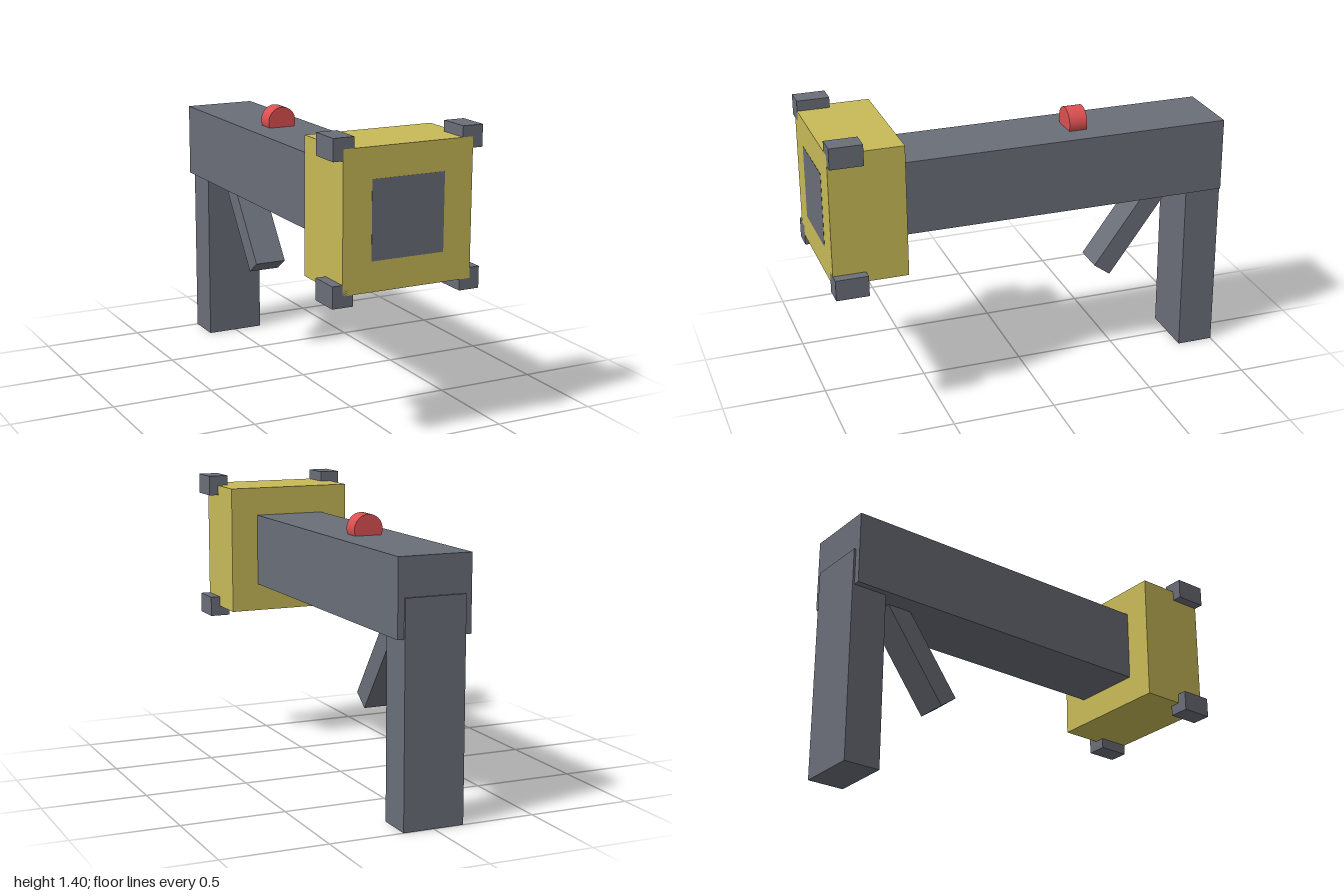
import * as THREE from 'three';

export function createModel() {
  const model = new THREE.Group();
  const material = (name, color) => {
    const m = new THREE.MeshStandardMaterial({ color });
    m.name = name;
    return m;
  };
  const grey = material('slate grey', 0x6a6e78);
  const yellow = material('mustard yellow', 0xc8ba58);
  const red = material('red', 0xdc5052);

  // Box given by its lower and upper limits on each axis
  const box = (name, mat, [x0, x1], [y0, y1], [z0, z1]) => {
    const mesh = new THREE.Mesh(new THREE.BoxGeometry(x1 - x0, y1 - y0, z1 - z0), mat);
    mesh.position.set((x0 + x1) / 2, (y0 + y1) / 2, (z0 + z1) / 2);
    mesh.name = name;
    model.add(mesh);
    return mesh;
  };

  // Long square barrel, its end showing just proud of the muzzle block
  box('barrel', grey, [-0.178, 0.178], [0.857, 1.215], [-0.99, 1.001]);
  box('muzzleBlock', yellow, [-0.317, 0.317], [0.72, 1.355], [0.645, 1]);

  // Four corner lugs around the muzzle
  for (const sx of [-1, 1]) {
    for (const sy of [-1, 1]) {
      const x = sx * 0.315, y = 1.037 + sy * 0.318;
      box('cornerLug', grey, [x - 0.05, x + 0.05], [y - 0.05, y + 0.05], [0.845, 1]);
    }
  }

  // Rear grip and slanted trigger
  box('grip', grey, [-0.147, 0.147], [0, 1.037], [-1, -0.82]);
  const trigger = box('trigger', grey, [-0.08, 0.08], [0.403, 1.003], [-0.637, -0.537]);
  trigger.rotation.x = -0.63;

  // Round sight, partly sunk into the barrel
  const sight = new THREE.Mesh(new THREE.CylinderGeometry(0.072, 0.072, 0.088, 32), red);
  sight.rotation.x = Math.PI / 2;
  sight.position.set(0, 1.243, -0.275);
  sight.name = 'sight';
  model.add(sight);

  return model;
}
